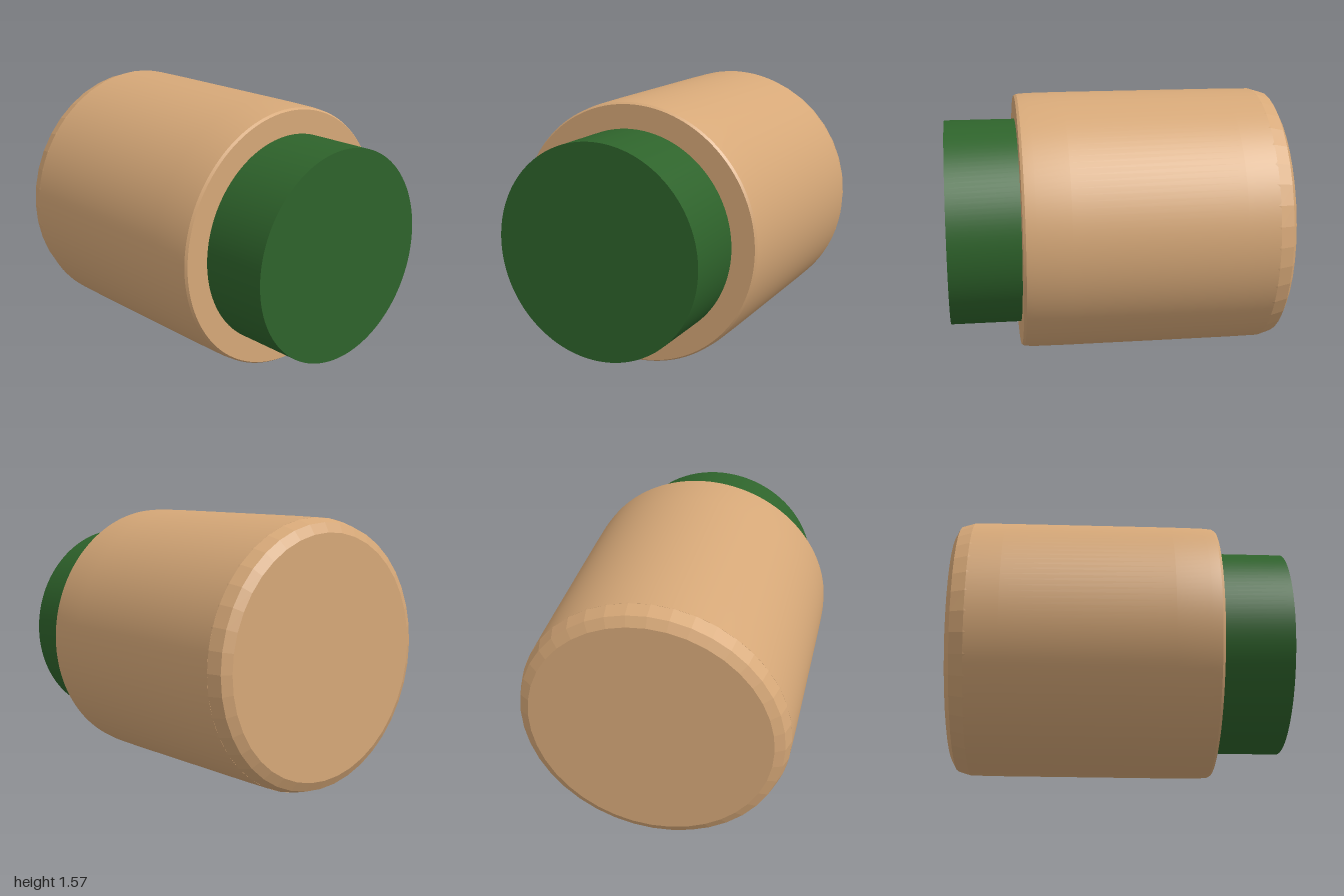
import * as THREE from 'three';
import { toCreasedNormals } from 'three/addons/utils/BufferGeometryUtils.js';

const CENTER_Y = 0.785;

// Turned part lying along x; profile is a list of [x, radius] from left to right
function turned(name, profile, sides, color, faceted = false) {
  const points = profile.map(([x, r]) => new THREE.Vector2(r, x));
  const lathe = new THREE.LatheGeometry(points, sides);
  const geometry = faceted ? lathe : toCreasedNormals(lathe, 0.3);
  const material = new THREE.MeshStandardMaterial({ color, flatShading: faceted });
  const mesh = new THREE.Mesh(geometry, material);
  mesh.name = name;
  mesh.rotation.z = -Math.PI / 2;
  mesh.position.y = CENTER_Y;
  return mesh;
}

export function createModel() {
  const group = new THREE.Group();
  group.name = 'cylinderWithPlug';
  const tan = 0xd6a878;
  const green = 0x2e632b;

  // Main barrel with a small softened rim on the right
  group.add(turned('barrel', [
    [-0.89, 0.7], [-0.89, 0.783], [-0.7, 0.785], [0.3, 0.785],
    [0.5, 0.783], [0.56, 0.778], [0.575, 0.768], [0.575, 0],
  ], 128, tan));

  // Coarser, hand-cut rounded end on the left
  group.add(turned('roundedEnd', [
    [-1, 0], [-1, 0.705], [-0.97, 0.76], [-0.89, 0.784], [-0.86, 0.782],
  ], 40, tan, true));

  // Narrower plug sticking out on the right
  group.add(turned('plug', [
    [0.55, 0], [0.55, 0.627], [1, 0.627], [1, 0],
  ], 128, green));

  return group;
}
